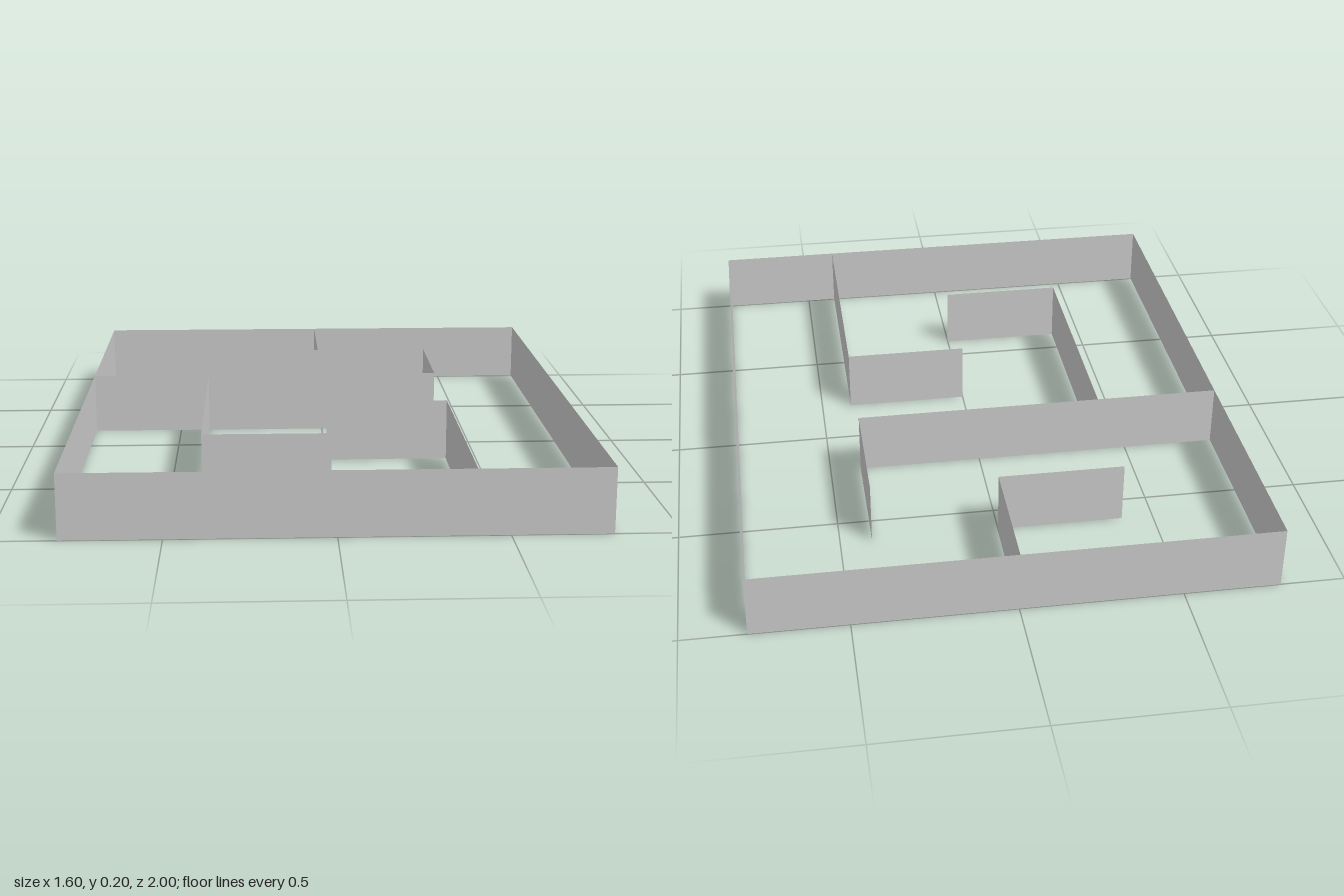
import * as THREE from 'three';

const HEIGHT = 0.2;
const material = new THREE.MeshStandardMaterial({ color: 0xcccccc, side: THREE.DoubleSide });

// Paper-thin upright panel between two floor points [x, z]
function wallPanel([x0, z0], [x1, z1]) {
  const geometry = new THREE.PlaneGeometry(Math.hypot(x1 - x0, z1 - z0), HEIGHT);
  geometry.rotateY(-Math.atan2(z1 - z0, x1 - x0));
  geometry.translate((x0 + x1) / 2, HEIGHT / 2, (z0 + z1) / 2);
  return new THREE.Mesh(geometry, material);
}

// Chain of panels following a floor path
function wallRun(name, path) {
  const run = new THREE.Group();
  run.name = name;
  for (let i = 0; i < path.length - 1; i++) {
    const panel = wallPanel(path[i], path[i + 1]);
    panel.name = `${name}Panel${i + 1}`;
    run.add(panel);
  }
  return run;
}

export function createModel() {
  const maze = new THREE.Group();
  maze.name = 'maze';
  maze.add(
    // Closed rectangular border
    wallRun('outerWall', [[-0.8, 1], [0.8, 1], [0.8, -1], [-0.8, -1], [-0.8, 1]]),
    // Hook hanging from the back wall
    wallRun('backHook', [[0, -1], [0, -0.6], [-0.4, -0.6]]),
    // Long divider from the side wall, turning back at its end
    wallRun('divider', [[-0.8, -0.2], [0.4, -0.2], [0.4, -0.6]]),
    // Hook branching forward off the divider
    wallRun('dividerHook', [[-0.4, -0.2], [-0.4, 0.6], [0, 0.6]]),
    // Hook rising from the front wall
    wallRun('frontHook', [[0.4, 1], [0.4, 0.2], [0, 0.2]]),
  );
  return maze;
}
